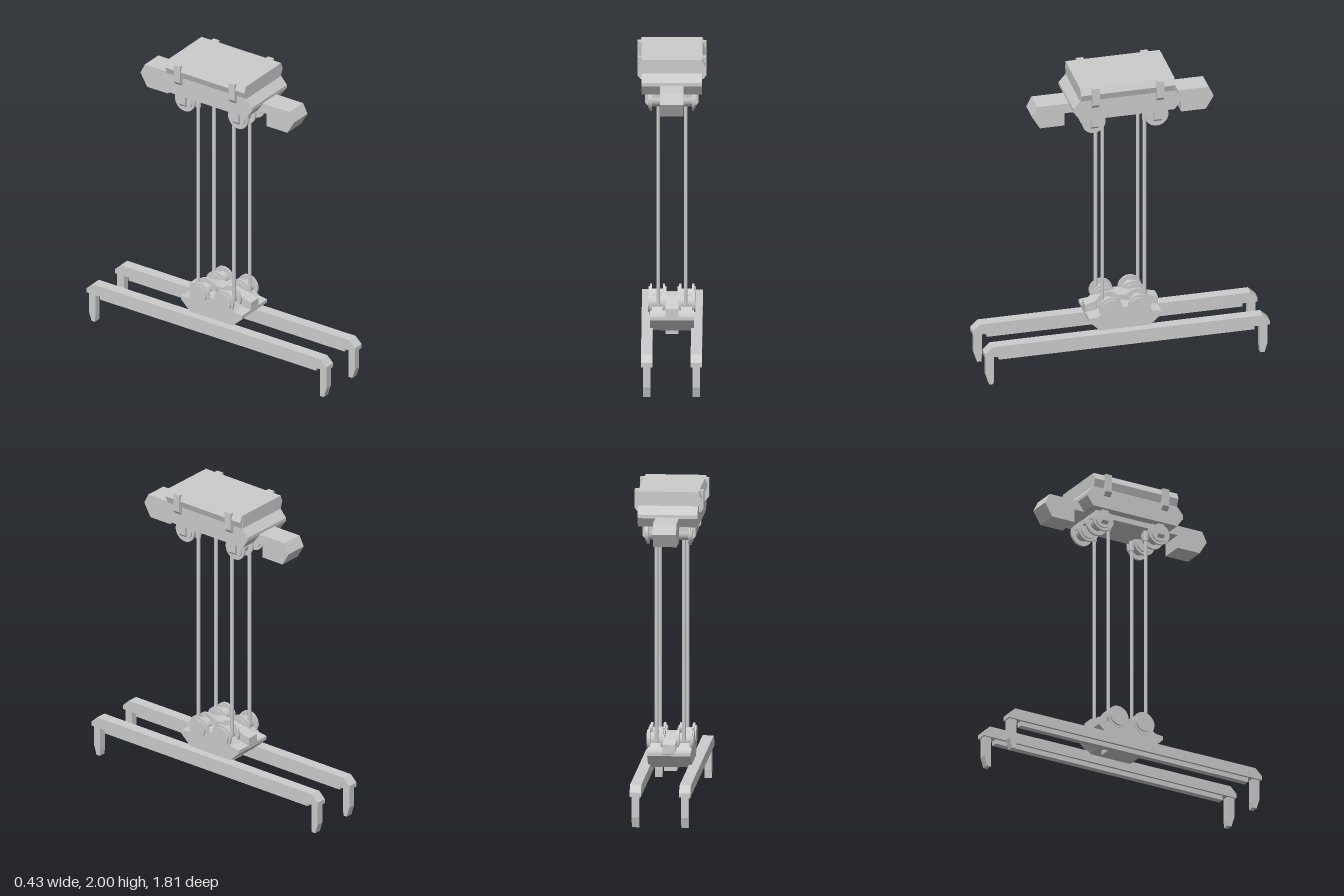
import * as THREE from 'three';

const grey = new THREE.MeshStandardMaterial({ color: 0xcccccc, flatShading: true });
const smooth = new THREE.MeshStandardMaterial({ color: 0xcccccc });

function shapeOf(points) {
  return new THREE.Shape(points.map(([a, b]) => new THREE.Vector2(a, b)));
}

function add(parent, name, geometry, material = grey) {
  const mesh = new THREE.Mesh(geometry, material);
  mesh.name = name;
  parent.add(mesh);
  return mesh;
}

// Extrusion of an (x, y) outline along z, centred on z
function alongZ(points, depth, z = 0) {
  return new THREE.ExtrudeGeometry(shapeOf(points), { depth, bevelEnabled: false })
    .translate(0, 0, z - depth / 2);
}

// Extrusion of a (z, y) outline along x, centred on x
function alongX(points, width, x = 0) {
  return alongZ(points, width).rotateY(-Math.PI / 2).translate(x, 0, 0);
}

// Closed outline from the half with z > 0, listed from top to bottom
function mirrored(half) {
  return [...half, ...half.map(([z, y]) => [-z, y]).reverse()];
}

function box(x0, x1, y0, y1, z0, z1) {
  return new THREE.BoxGeometry(x1 - x0, y1 - y0, z1 - z0)
    .translate((x0 + x1) / 2, (y0 + y1) / 2, (z0 + z1) / 2);
}

// Grooved wheel with two thin flanges and end caps, its axle along x
function pulley(name) {
  const group = new THREE.Group();
  group.name = name;
  const disc = (part, radius, width, x) => add(group, part,
    new THREE.CylinderGeometry(radius, radius, width, 28).rotateZ(Math.PI / 2).translate(x, 0, 0), smooth);
  disc('drum', 0.045, 0.08, 0);
  for (const s of [-1, 1]) {
    disc('flange', 0.074, 0.014, s * 0.04);
    disc('cap', 0.058, 0.02, s * 0.046);
  }
  return group;
}

export function createModel() {
  const model = new THREE.Group();

  // Trolley housing with sloped ends
  const trolley = new THREE.Group();
  trolley.name = 'trolley';
  model.add(trolley);
  add(trolley, 'housing', alongX(mirrored(
    [[0.3, 2], [0.3, 1.912], [0.343, 1.862], [0.343, 1.84], [0.3, 1.78]]), 0.372));
  add(trolley, 'underPlate', box(-0.13, 0.13, 1.745, 1.785, -0.25, 0.25));

  for (const s of [-1, 1]) {
    // Bulging rails and clips on the long sides
    add(trolley, 'sideRail', alongZ(
      [[s * 0.18, 2], [s * 0.188, 2], [s * 0.205, 1.957], [s * 0.188, 1.912], [s * 0.18, 1.912]], 0.596));
    for (const z of [-0.205, 0.205]) {
      add(trolley, 'sideClip', alongZ(
        [[s * 0.18, 2], [s * 0.213, 2], [s * 0.213, 1.885], [s * 0.195, 1.862], [s * 0.18, 1.862]], 0.046, z));
    }

    // Motor housings at both ends
    add(trolley, 'endMotor', alongX(
      [[0.28, 1.845], [0.545, 1.845], [0.578, 1.78], [0.528, 1.695], [0.37, 1.695], [0.37, 1.78], [0.28, 1.78]]
        .map(([z, y]) => [s * z, y]), 0.146));
  }

  // Hook block: low sides, raised spine and keel
  const block = new THREE.Group();
  block.name = 'hookBlock';
  model.add(block);
  add(block, 'blockBody', alongX(mirrored(
    [[0.12, 0.41], [0.17, 0.36], [0.23, 0.352], [0.23, 0.33], [0.14, 0.246]]), 0.27));
  add(block, 'blockSpine', alongX(mirrored(
    [[0.04, 0.445], [0.15, 0.425], [0.232, 0.402], [0.232, 0.34], [0.15, 0.27]]), 0.08));
  add(block, 'keel', box(-0.04, 0.04, 0.215, 0.25, -0.11, 0.11));

  // Pulleys, hangers and ropes at the four corners
  for (const sx of [-1, 1]) {
    for (const sz of [-1, 1]) {
      const upper = pulley('upperPulley');
      upper.position.set(sx * 0.09, 1.727, sz * 0.2);
      const lower = pulley('lowerPulley');
      lower.position.set(sx * 0.09, 0.41, sz * 0.092);
      model.add(upper, lower);

      add(trolley, 'pulleyHanger', alongZ(
        [[sx * 0.14, 1.79], [sx * 0.165, 1.79], [sx * 0.165, 1.71], [sx * 0.15, 1.693], [sx * 0.14, 1.693]],
        0.046, sz * 0.2));
      add(model, 'rope', new THREE.CylinderGeometry(0.012, 0.012, 1.33, 10)
        .translate(sx * 0.085, 1.075, sz * 0.134), smooth);
      add(trolley, 'ropeSocket', new THREE.CylinderGeometry(0.017, 0.017, 0.07, 10)
        .translate(sx * 0.085, 1.715, sz * 0.134), smooth);
    }
  }

  // Spreader beams with gripping legs
  for (const sx of [-1, 1]) {
    const beam = new THREE.Group();
    beam.name = 'spreaderBeam';
    beam.position.x = sx * 0.153;
    model.add(beam);
    add(beam, 'beam', alongX(mirrored([[0.86, 0.265], [0.905, 0.222], [0.905, 0.195]]), 0.07));
    add(beam, 'beamRunner', box(-0.02, 0.02, 0.165, 0.2, -0.813, 0.813));
    for (const sz of [-1, 1]) {
      add(beam, 'gripLeg', alongX(
        [[0.845, 0.2], [0.895, 0.2], [0.895, 0.065], [0.875, 0], [0.848, 0], [0.845, 0.05]]
          .map(([z, y]) => [sz * z, y]), 0.046));
    }
  }
  return model;
}
